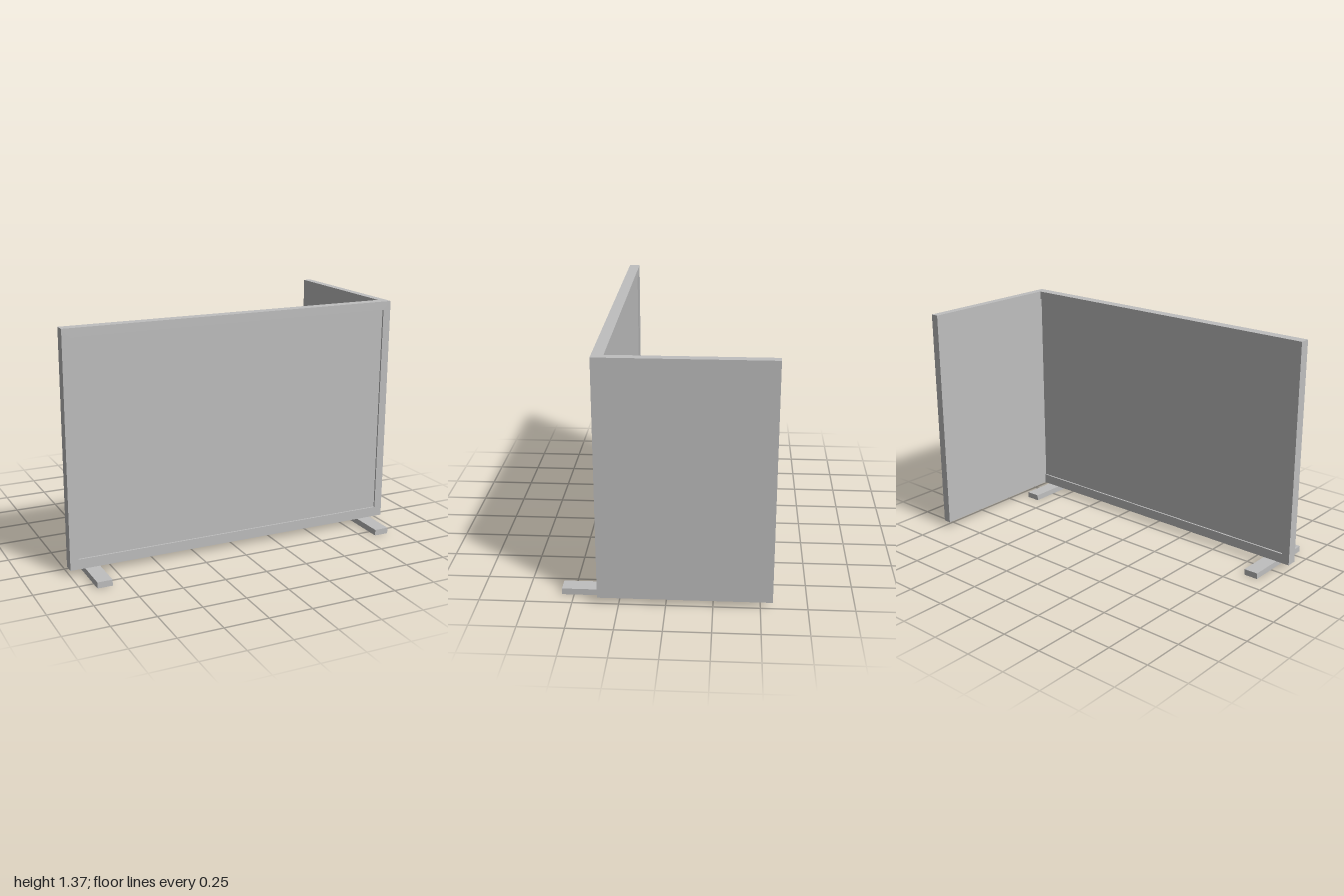
import * as THREE from 'three';

const grey = new THREE.MeshStandardMaterial({ color: 0xbfbfbf });
grey.name = 'light grey';

// Box given by its lower and upper limits
function box(name, [x0, y0, z0], [x1, y1, z1]) {
  const geometry = new THREE.BoxGeometry(x1 - x0, y1 - y0, z1 - z0);
  geometry.translate((x0 + x1) / 2, (y0 + y1) / 2, (z0 + z1) / 2);
  const mesh = new THREE.Mesh(geometry, grey);
  mesh.name = name;
  return mesh;
}

function rectangle(PathType, x0, y0, x1, y1) {
  return new PathType([[x0, y0], [x1, y0], [x1, y1], [x0, y1]].map(([x, y]) => new THREE.Vector2(x, y)));
}

export function createModel() {
  const model = new THREE.Group();
  model.name = 'partitionScreen';

  const bottom = 0.035, top = 1.37, back = 0.302, front = 0.365;
  const inner = { x: 0.953, y0: bottom + 0.058, y1: top - 0.049 };
  const recess = 0.01;

  // Wide frame with a rectangular opening
  const outline = rectangle(THREE.Shape, -1, bottom, 1, top);
  outline.holes.push(rectangle(THREE.Path, -inner.x, inner.y0, inner.x, inner.y1));
  const frameGeometry = new THREE.ExtrudeGeometry(outline, { depth: front - back, bevelEnabled: false });
  frameGeometry.translate(0, 0, back);
  const frame = new THREE.Mesh(frameGeometry, grey);
  frame.name = 'mainFrame';
  model.add(frame);

  // Infill panel, set slightly back from both faces of the frame
  model.add(box('infillPanel', [-inner.x, inner.y0, back + recess], [inner.x, inner.y1, front - recess]));

  // Plain return panel on the left end, running backwards
  model.add(box('sidePanel', [0.953, bottom, -0.565], [1, top, back]));

  // Flat feet crossing under the frame
  for (const [name, x] of [['leftFoot', 0.873], ['rightFoot', -0.873]]) {
    model.add(box(name, [x - 0.043, 0, 0.1], [x + 0.043, bottom, 0.565]));
  }
  return model;
}
